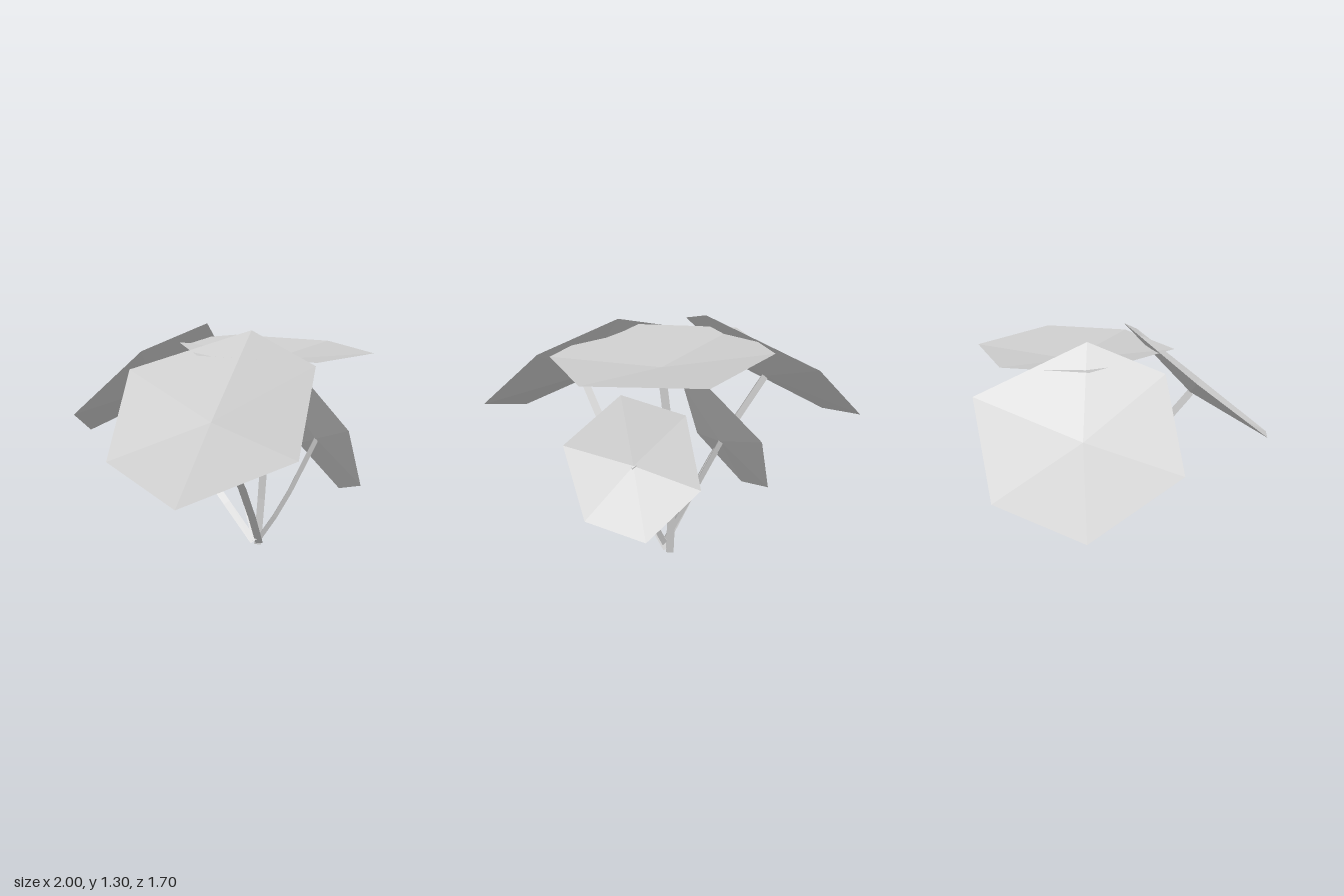
import * as THREE from 'three';

const material = new THREE.MeshStandardMaterial({
  color: 0xcccccc, flatShading: true, side: THREE.DoubleSide,
});

// Shallow six-sided funnel: a fan from the sunken centre to the rim
function makeLeaf(centre, rim) {
  const points = [];
  rim.forEach((corner, i) => points.push(...centre, ...rim[(i + 1) % rim.length], ...corner));
  const geometry = new THREE.BufferGeometry();
  geometry.setAttribute('position', new THREE.Float32BufferAttribute(points, 3));
  geometry.computeVertexNormals();
  return new THREE.Mesh(geometry, material);
}

// Thin three-sided stem, gently bent from the root to the leaf centre
function makeStem(path, radius) {
  const curve = new THREE.CatmullRomCurve3(path.map((p) => new THREE.Vector3(...p)));
  return new THREE.Mesh(new THREE.TubeGeometry(curve, 4, radius, 3, false), material);
}

const plants = [
  {
    name: 'front',
    centre: [0.42, 0.88, 0.38],
    rim: [[-0.11, 1.1, 0.45], [0.34, 1.305, -0.01], [0.78, 1.16, 0.01],
      [0.995, 0.785, 0.405], [0.64, 0.575, 0.845], [0.16, 0.715, 0.845]],
    root: [0.185, 0.03, -0.28], bend: [0.32, 0.42, 0.01], radius: 0.025,
  },
  {
    name: 'top',
    centre: [0.22, 1.11, -0.3],
    rim: [[0.22, 1.175, -0.85], [0.745, 1.17, -0.555], [0.735, 1.165, -0.06],
      [0.24, 1.19, 0.295], [-0.32, 1.2, -0.09], [-0.285, 1.195, -0.575]],
    root: [0.17, 0.01, -0.285], bend: [0.175, 0.55, -0.33], radius: 0.025,
  },
  {
    name: 'right',
    centre: [-0.51, 0.89, -0.09],
    rim: [[-1, 0.575, 0.02], [-0.93, 0.715, -0.455], [-0.5, 1.1, -0.66],
      [-0.11, 1.305, -0.14], [-0.195, 1.175, 0.29], [-0.62, 0.785, 0.44]],
    root: [0.18, 0.04, -0.23], bend: [-0.16, 0.47, -0.13], radius: 0.025,
  },
  {
    name: 'backLeft',
    centre: [0.445, 0.665, -0.455],
    rim: [[0.47, 0.335, -0.665], [0.73, 0.435, -0.5], [0.765, 0.78, -0.315],
      [0.46, 1.01, -0.34], [0.175, 0.91, -0.5], [0.165, 0.56, -0.66]],
    root: [0.19, 0.05, -0.26], bend: [0.3, 0.27, -0.34], radius: 0.018,
  },
  {
    name: 'backRight',
    centre: [-0.095, 0.665, -0.36],
    rim: [[-0.295, 0.335, -0.25], [-0.29, 0.435, -0.55], [-0.15, 0.785, -0.705],
      [0.015, 1.01, -0.44], [0, 0.91, -0.09], [-0.135, 0.565, 0.005]],
    root: [0.185, 0.05, -0.235], bend: [0.05, 0.32, -0.28], radius: 0.018,
  },
];

export function createModel() {
  const model = new THREE.Group();
  model.name = 'leafyPlant';
  for (const { name, centre, rim, root, bend, radius } of plants) {
    const leaf = makeLeaf(centre, rim);
    leaf.name = `${name}Leaf`;
    const stem = makeStem([root, bend, centre], radius);
    stem.name = `${name}Stem`;
    model.add(leaf, stem);
  }
  return model;
}
